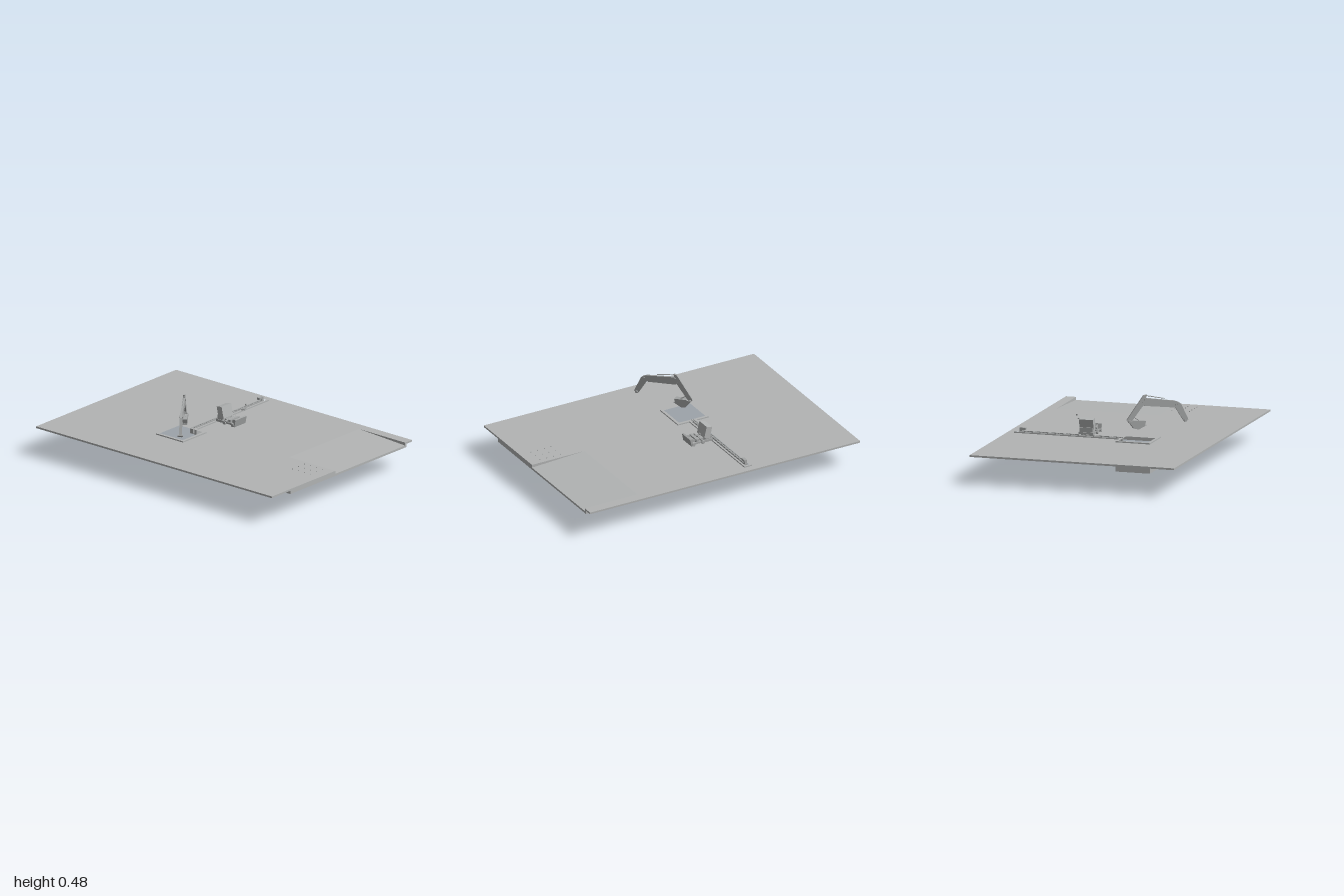
import * as THREE from 'three';

export function createModel() {
  const root = new THREE.Group();
  root.name = 'excavatorTestFloor';
  const concrete = new THREE.MeshStandardMaterial({ color: 0xb2b4b4 });
  concrete.name = 'concreteGrey';
  const steel = new THREE.MeshStandardMaterial({ color: 0xa4a6a6 });
  steel.name = 'steelGrey';

  const add = (parent, name, geometry, material, x = 0, y = 0, z = 0) => {
    const m = new THREE.Mesh(geometry, material);
    m.name = name;
    m.position.set(x, y, z);
    parent.add(m);
    return m;
  };
  const box = (parent, name, w, h, d, x, y, z, mat = steel) =>
    add(parent, name, new THREE.BoxGeometry(w, h, d), mat, x, y, z);
  const rod = (parent, name, r, len, x, y, z, axis = 'z', sides = 16) => {
    const g = new THREE.CylinderGeometry(r, r, len, sides);
    if (axis === 'z') g.rotateX(Math.PI / 2);
    if (axis === 'x') g.rotateZ(Math.PI / 2);
    return add(parent, name, g, steel, x, y, z);
  };
  const points = (list) => list.map(([a, b]) => new THREE.Vector2(a, b));
  const rect = (x0, x1, z0, z1) => [[x0, z0], [x1, z0], [x1, z1], [x0, z1]];

  // Horizontal slab from a plan outline (x, z), with holes
  const slab = (name, outline, holes, y0, y1) => {
    const flip = (list) => points(list.map(([x, z]) => [x, -z]));
    const shape = new THREE.Shape(flip(outline));
    holes.forEach((h) => shape.holes.push(new THREE.Path(flip(h))));
    const g = new THREE.ExtrudeGeometry(shape, { depth: y1 - y0, bevelEnabled: false });
    g.rotateX(-Math.PI / 2);
    return add(root, name, g, concrete, 0, y0, 0);
  };
  // Open-topped concrete tray
  const tray = (name, x0, x1, z0, z1, wall, y0, y1) => {
    slab(name + 'Walls', rect(x0, x1, z0, z1),
      [rect(x0 + wall, x1 - wall, z0 + wall, z1 - wall)], y0, y1);
    slab(name + 'Floor', rect(x0 + wall, x1 - wall, z0 + wall, z1 - wall), [], y0, y0 + 0.008);
  };

  // Floor, notched at the ramp and opened at the pit and rail trench
  const notched = (x0, z0, z1) => [[x0, z0], [1, z0], [1, -0.625], [0.61, -0.625],
    [0.61, 0.065], [1, 0.065], [1, z1], [x0, z1]];
  slab('floor', notched(-1, -0.692, 0.692),
    [rect(-0.314, -0.086, 0.075, 0.304), rect(-0.224, -0.171, -0.644, 0.069)], 0.18, 0.192);
  slab('lowerSlab', notched(-0.055, -0.64, 0.51), [], 0.158, 0.18);

  // Ramp sinking toward the left edge
  const rampShape = new THREE.Shape(points([[0.61, 0.158], [1, 0.158], [1, 0.172], [0.61, 0.192]]));
  add(root, 'ramp', new THREE.ExtrudeGeometry(rampShape, { depth: 0.69, bevelEnabled: false }),
    concrete, 0, 0, -0.625);

  // Pit and rail trench
  tray('pit', -0.315, -0.085, 0.072, 0.305, 0.018, 0, 0.2);
  tray('trench', -0.225, -0.17, -0.645, 0.072, 0.013, 0.158, 0.2);

  // Rail with its sleepers and end drive
  const rail = new THREE.Group();
  rail.name = 'rail';
  root.add(rail);
  box(rail, 'railBed', 0.02, 0.032, 0.7, -0.199, 0.182, -0.265);
  for (const s of [-1, 1]) box(rail, 'railBar', 0.004, 0.006, 0.7, -0.199 + s * 0.007, 0.2, -0.265);
  for (let i = 0; i < 35; i++) box(rail, 'sleeper', 0.01, 0.004, 0.006, -0.199, 0.2, -0.605 + i * 0.02);
  box(rail, 'railDrive', 0.02, 0.014, 0.04, -0.199, 0.218, -0.592);
  box(rail, 'driveFoot', 0.014, 0.015, 0.014, -0.199, 0.207, -0.605);

  // Floor studs beside the ramp
  for (let i = 0; i < 4; i++) {
    for (let j = 0; j < 3; j++) {
      rod(root, 'stud', 0.003, 0.004, 0.77 + i * 0.05, 0.194, 0.1 + j * 0.06, 'y', 8);
    }
  }

  // Carriage beside the rail, with a tilted seat box
  const carriage = new THREE.Group();
  carriage.name = 'carriage';
  carriage.position.set(0, 0, -0.175);
  root.add(carriage);
  box(carriage, 'carriagePlate', 0.05, 0.016, 0.1, -0.15, 0.206, 0);
  box(carriage, 'carriageBlock', 0.045, 0.035, 0.09, -0.145, 0.226, 0);
  const seat = box(carriage, 'seatBox', 0.042, 0.08, 0.095, -0.142, 0.262, 0, concrete);
  seat.rotation.z = 0.22;
  box(carriage, 'centreBeam', 0.09, 0.014, 0.05, -0.075, 0.214, 0);
  box(carriage, 'axleHousing', 0.02, 0.022, 0.09, -0.065, 0.22, 0);
  for (const s of [-1, 1]) {
    box(carriage, 'sideBeam', 0.1, 0.012, 0.01, -0.075, 0.207, s * 0.045);
    rod(carriage, 'wheel', 0.011, 0.014, -0.1, 0.205, s * 0.053);
    rod(carriage, 'wheel', 0.011, 0.014, -0.03, 0.205, s * 0.053);
    const strut = box(carriage, 'strut', 0.05, 0.007, 0.008, -0.045, 0.226, s * 0.03);
    strut.rotation.z = 0.4;
  }
  rod(carriage, 'crossTube', 0.006, 0.11, -0.095, 0.218, 0);
  const endPlate = box(carriage, 'endPlate', 0.012, 0.05, 0.11, -0.016, 0.22, 0);
  endPlate.rotation.z = -0.2;

  // Hand controls floating behind the carriage
  const controls = new THREE.Group();
  controls.name = 'handControls';
  root.add(controls);
  rod(controls, 'controlKnob', 0.006, 0.01, -0.05, 0.3, -0.274, 'y', 12);
  const lever = box(controls, 'controlLever', 0.018, 0.006, 0.022, -0.048, 0.276, -0.258);
  lever.rotation.x = 0.4;
  box(controls, 'controlPad', 0.012, 0.006, 0.01, -0.058, 0.268, -0.25);

  // Digging arm, drawn in its own upright plane (z, y) and swung sideways
  const arm = new THREE.Group();
  arm.name = 'diggingArm';
  arm.position.set(-0.22, 0, 0.12);
  arm.rotation.y = -0.952;
  root.add(arm);
  const along = ([z, y]) => [(z - 0.12) / 0.815, y];
  const plate = (name, list, width) => {
    const g = new THREE.ExtrudeGeometry(new THREE.Shape(points(list.map(along))),
      { depth: width, bevelEnabled: false });
    g.translate(0, 0, -width / 2);
    return add(arm, name, g, steel);
  };
  plate('lowerArm', [[0.455, 0.305], [0.435, 0.287], [0.385, 0.385], [0.386, 0.43], [0.415, 0.41]], 0.016);
  plate('boom', [[0.405, 0.42], [0.383, 0.431], [0.224, 0.46], [0.198, 0.452],
    [0.213, 0.41], [0.394, 0.385]], 0.014);
  plate('stick', [[0.228, 0.483], [0.209, 0.478], [0.117, 0.322], [0.131, 0.302],
    [0.15, 0.322], [0.215, 0.425]], 0.012);

  // Bucket: two cheeks, curved back and teeth
  const profile = [[0.22, 0.311], [0.153, 0.319], [0.128, 0.311], [0.154, 0.267], [0.18, 0.259], [0.213, 0.278]];
  plate('bucket', profile, 0.034);
  for (const s of [-1, 0, 1]) {
    box(arm, 'bucketTooth', 0.014, 0.005, 0.006, along([0.218, 0])[0], 0.284, s * 0.012);
  }
  // Pins and the ram between boom and stick
  [[0.44, 0.3, 0.034], [0.4, 0.41, 0.028], [0.218, 0.45, 0.024], [0.132, 0.312, 0.03]].forEach(([z, y, w]) =>
    rod(arm, 'pin', 0.008, w, along([z, 0])[0], y, 0));
  const link = (name, a, b, r) => {
    const [p, q] = [a, b].map((c) => new THREE.Vector3(...along(c), 0));
    add(arm, name, new THREE.TubeGeometry(new THREE.LineCurve3(p, q), 1, r, 10), steel);
  };
  link('boomRam', [0.325, 0.45], [0.218, 0.478], 0.003);
  link('bucketLink', [0.15, 0.345], [0.19, 0.312], 0.003);

  return root;
}
